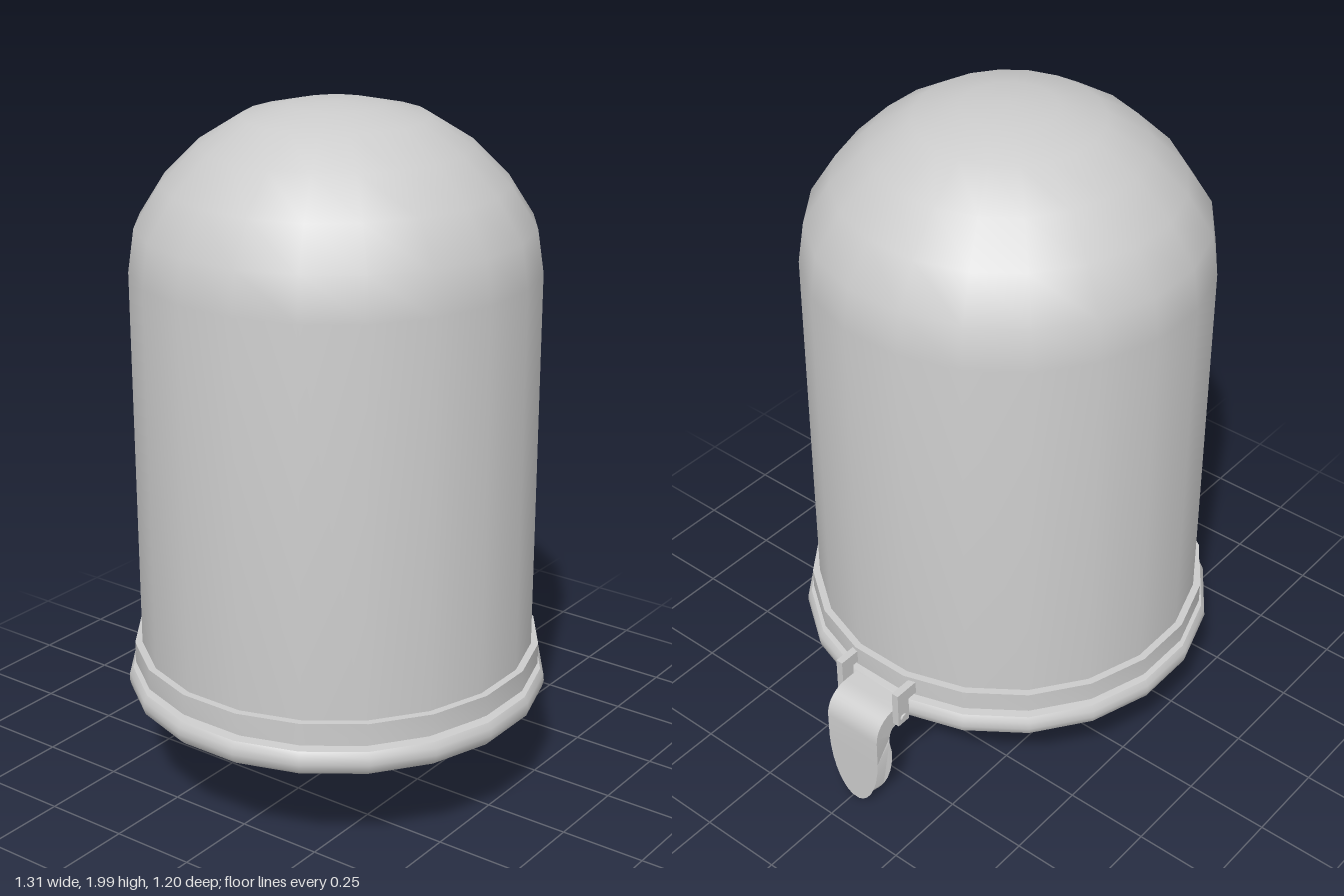
import * as THREE from 'three';
import { toCreasedNormals } from 'three/addons/utils/BufferGeometryUtils.js';

const SIDES = 20;
const AXIS_X = -0.06;   // axis of the round body
const LATCH_Z = -0.01;  // centre plane of the latch

export function createModel() {
  const model = new THREE.Group();
  const material = new THREE.MeshStandardMaterial({ color: 0xcccccc });

  function add(name, geometry, x = 0, y = 0, z = 0, parent = model) {
    const mesh = new THREE.Mesh(geometry, material);
    mesh.name = name;
    mesh.position.set(x, y, z);
    parent.add(mesh);
    return mesh;
  }

  // Turned part with a flat facet towards each axis; profile runs bottom to top
  function turned(name, profile) {
    const points = profile.map(([r, y]) => new THREE.Vector2(r, y));
    const geometry = new THREE.LatheGeometry(points, SIDES, Math.PI / SIDES);
    return add(name, toCreasedNormals(geometry, 0.6), AXIS_X);
  }

  // Domed cover
  turned('domedCover', [
    [0.566, 0.35], [0.566, 1.55], [0.548, 1.67], [0.475, 1.785],
    [0.375, 1.885], [0.255, 1.96], [0.13, 1.99], [0, 2],
  ]);

  // Flat band around the foot of the cover
  turned('coverBand', [[0.56, 0.386], [0.587, 0.386], [0.587, 0.447], [0.56, 0.447]]);

  // Rounded base rim and its floor
  turned('baseRim', [
    [0, 0.31], [0.535, 0.31], [0.55, 0.299], [0.568, 0.295], [0.588, 0.298],
    [0.602, 0.312], [0.607, 0.332], [0.605, 0.352], [0.595, 0.368], [0.56, 0.371],
  ]);

  // Latch: bent lever tongue, two hinge lugs and a pin
  const latch = new THREE.Group();
  latch.name = 'latch';
  latch.position.z = LATCH_Z;
  model.add(latch);

  const lever = new THREE.Shape();
  lever.moveTo(0.5, 0.365);
  lever.lineTo(0.5, 0.3);
  lever.lineTo(0.575, 0.3);
  lever.quadraticCurveTo(0.602, 0.298, 0.602, 0.25);
  const tip = [0.2, 0.16, 0.12, 0.085, 0.055, 0.03, 0.015, 0.007];
  tip.forEach((y) => lever.lineTo(y > 0.1 ? 0.592 : 0.607 - y * 0.15, y));
  tip.slice().reverse().forEach((y) => lever.lineTo(0.655, y));
  lever.lineTo(0.655, 0.285);
  lever.bezierCurveTo(0.655, 0.335, 0.62, 0.365, 0.575, 0.365);
  const tongue = new THREE.ExtrudeGeometry(lever, { depth: 2, bevelEnabled: false, curveSegments: 8 });
  tongue.translate(0, 0, -1);

  // Narrow the tongue to a rounded tip
  const pos = tongue.attributes.position;
  for (let i = 0; i < pos.count; i++) {
    const drop = THREE.MathUtils.clamp((0.22 - pos.getY(i)) / 0.215, 0, 1);
    pos.setZ(i, pos.getZ(i) * 0.094 * Math.sqrt(1 - drop * drop));
  }
  add('leverTongue', toCreasedNormals(tongue, 0.6), 0, 0, 0, latch);

  const lug = new THREE.Shape();
  [[0.5, 0.395], [0.54, 0.395], [0.54, 0.318], [0.585, 0.318], [0.585, 0.435], [0.5, 0.435]]
    .forEach(([x, y], i) => (i ? lug.lineTo(x, y) : lug.moveTo(x, y)));
  const lugGeometry = new THREE.ExtrudeGeometry(lug, { depth: 0.022, bevelEnabled: false });
  lugGeometry.translate(0, 0, -0.011);
  add('leftHingeLug', lugGeometry, 0, 0, 0.106, latch);
  add('rightHingeLug', lugGeometry, 0, 0, -0.106, latch);

  const pin = new THREE.CylinderGeometry(0.013, 0.013, 0.246, 12);
  pin.rotateX(Math.PI / 2);
  add('hingePin', pin, 0.564, 0.34, 0, latch);

  return model;
}
